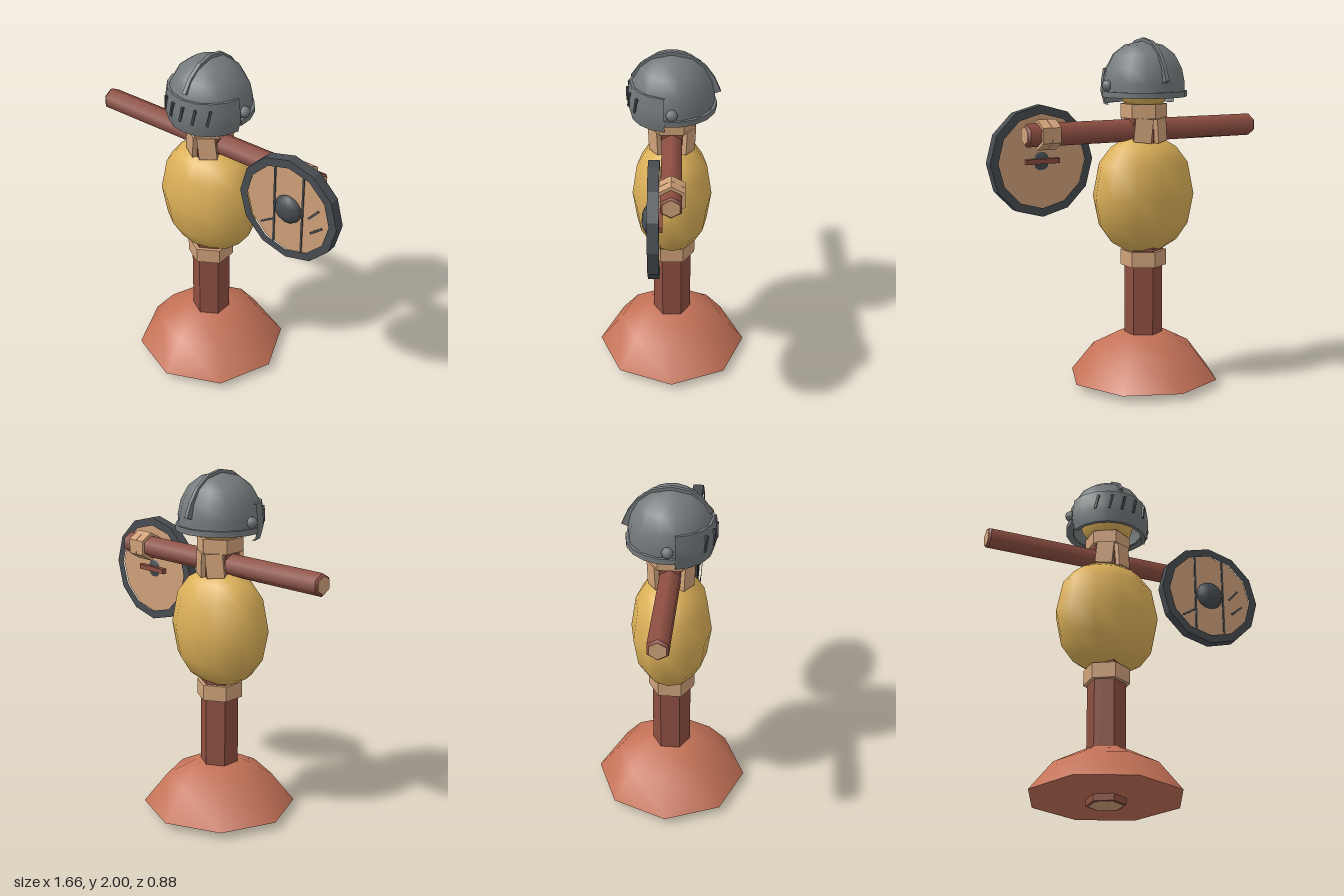
import * as THREE from 'three';
import { toCreasedNormals } from 'three/addons/utils/BufferGeometryUtils.js';

const mat = (name, color, side = THREE.FrontSide) => {
  const m = new THREE.MeshStandardMaterial({ color, side });
  m.name = name;
  return m;
};

export function createModel() {
  const clay = mat('clay', 0xc47257);
  const darkWood = mat('darkWood', 0x8e4f42);
  const paleWood = mat('paleWood', 0xd0a27a);
  const sacking = mat('sacking', 0xdcb058);
  const steel = mat('steel', 0x74797b, THREE.DoubleSide);
  const iron = mat('iron', 0x484d52);

  const model = new THREE.Group();
  model.name = 'trainingDummy';
  const body = new THREE.Group();
  body.name = 'body';
  body.position.x = -0.095;
  model.add(body);

  const add = (parent, name, geo, material, x = 0, y = 0, z = 0) => {
    const mesh = new THREE.Mesh(geo, material);
    mesh.name = name;
    mesh.position.set(x, y, z);
    parent.add(mesh);
    return mesh;
  };
  const lathe = (pts, sides, crease, start = 0, sweep = Math.PI * 2) =>
    toCreasedNormals(new THREE.LatheGeometry(pts.map(p => new THREE.Vector2(...p)), sides, start, sweep), crease);
  const hex = (r, h) => toCreasedNormals(new THREE.CylinderGeometry(r, r, h, 6), 0.5);
  // Hexagonal prism lying along x with a corner on top
  const lyingHex = (r, length) =>
    new THREE.CylinderGeometry(r, r, length, 6).rotateY(Math.PI / 2).rotateZ(Math.PI / 2);

  // Domed base and post
  add(body, 'base', lathe([[0, 0.04], [0.44, 0.04], [0.305, 0.21], [0.135, 0.3], [0, 0.3]], 8, 0.9), clay);
  add(body, 'post', hex(0.11, 1.6), darkWood, 0, 0.802, 0);
  add(body, 'postFoot', hex(0.095, 0.004), paleWood, 0, 0.002, 0);

  // Stuffed sack with bindings above and below
  const sack = add(body, 'sack', lathe([[0, 0.78], [0.11, 0.79], [0.205, 0.845], [0.275, 0.94], [0.31, 1.11],
    [0.272, 1.295], [0.2, 1.385], [0.1, 1.44], [0, 1.45]], 12, 1.2), sacking);
  sack.scale.z = 0.73;
  add(body, 'lowerBinding', hex(0.132, 0.09), paleWood, 0, 0.745, 0);
  add(body, 'neckBinding', hex(0.132, 0.08), paleWood, 0, 1.592, 0);

  // Straps where the crossbar meets the post
  for (const turn of [0, Math.PI]) {
    for (const s of [-1, 1]) {
      const a = turn + s * Math.PI / 6;
      const strap = add(body, 'crossStrap', new THREE.BoxGeometry(0.1, 0.135, 0.03), paleWood,
        Math.sin(a) * 0.107, 1.485, Math.cos(a) * 0.107);
      strap.rotation.set(0, a, s * 0.1, 'YXZ');
    }
  }

  // Crossbar with cut ends and a shield lashing
  add(model, 'crossbar', lyingHex(0.064, 1.455), darkWood, -0.0925, 1.482, 0);
  for (const s of [-1, 1]) {
    const bevel = new THREE.CylinderGeometry(0.052, 0.064, 0.012, 6)
      .rotateY(Math.PI / 2).rotateZ(-s * Math.PI / 2);
    add(model, 'barBevel', bevel, darkWood, -0.0925 + s * 0.7335, 1.482, 0);
    add(model, 'barEnd', lyingHex(0.051, 0.004), paleWood, -0.0925 + s * 0.7395, 1.482, 0);
  }
  for (const x of [0.487, 0.543]) {
    add(model, 'barLashing', toCreasedNormals(lyingHex(0.084, 0.054), 0.5), paleWood, x, 1.482, 0);
  }

  // Stuffed head under the helmet
  add(body, 'head', new THREE.SphereGeometry(0.16, 12, 8), sacking, 0, 1.75, 0);

  // Helmet
  const helmet = new THREE.Group();
  helmet.name = 'helmet';
  body.add(helmet);
  add(helmet, 'dome', lathe([[0.205, 1.68], [0.232, 1.68], [0.234, 1.75], [0.218, 1.83], [0.175, 1.91],
    [0.11, 1.96], [0, 1.983], [0, 1.96], [0.16, 1.895], [0.205, 1.78], [0.205, 1.68]], 14, 0.9), steel);
  add(helmet, 'rim', lathe([[0.205, 1.672], [0.246, 1.672], [0.246, 1.704], [0.225, 1.704]],
    10, 0.6, 1.4, Math.PI * 2 - 2.8), steel);
  add(helmet, 'visor', lathe([[0.205, 1.63], [0.226, 1.63], [0.244, 1.7], [0.241, 1.76], [0.23, 1.83], [0.212, 1.83]],
    8, 0.9, -1.4, 2.8), steel);
  for (const x of [-0.145, -0.073, 0, 0.073, 0.145]) {
    const a = Math.asin(x / 0.24);
    const slit = add(helmet, 'visorSlit', new THREE.BoxGeometry(0.014, 0.09, 0.018), iron, x, 1.75, Math.cos(a) * 0.24);
    slit.rotation.set(0, a, -0.22, 'YXZ');
  }
  for (const s of [-1, 1]) {
    add(helmet, 'hinge', new THREE.SphereGeometry(0.032, 8, 6), steel, s * 0.235, 1.738, 0);
  }
  const crestShape = new THREE.Shape([[0.22, 1.86], [0.17, 1.93], [0.09, 1.983], [0, 2], [-0.1, 1.98],
    [-0.18, 1.92], [-0.23, 1.85], [-0.265, 1.768], [-0.23, 1.755], [-0.19, 1.85], [-0.1, 1.93],
    [0, 1.95], [0.1, 1.93], [0.19, 1.85]].map(p => new THREE.Vector2(...p)));
  const crest = new THREE.ExtrudeGeometry(crestShape, { depth: 0.022, bevelEnabled: false });
  add(helmet, 'crest', crest.translate(0, 0, -0.011).rotateY(-Math.PI / 2), steel);

  // Round shield, twelve sided
  const shield = new THREE.Group();
  shield.name = 'shield';
  shield.position.set(0.515, 1.33, 0.09);
  model.add(shield);
  const ring = r => Array.from({ length: 12 }, (_, i) =>
    new THREE.Vector2(Math.sin(i * Math.PI / 6) * r, Math.cos(i * Math.PI / 6) * r));
  const rimShape = new THREE.Shape(ring(0.31));
  rimShape.holes.push(new THREE.Path(ring(0.262)));
  add(shield, 'shieldRim', new THREE.ExtrudeGeometry(rimShape, { depth: 0.06, bevelEnabled: false }), iron, 0, 0, -0.03);
  const board = new THREE.CylinderGeometry(0.268, 0.268, 0.036, 12).rotateX(Math.PI / 2);
  add(shield, 'shieldBoard', board, paleWood);
  const boss = add(shield, 'boss', new THREE.SphereGeometry(0.084, 10, 8), iron, 0, 0, 0.018);
  boss.scale.z = 0.57;
  add(shield, 'handle', new THREE.BoxGeometry(0.2, 0.028, 0.03), darkWood, 0, 0, -0.03);

  // Plank seams and scratches: x, y, length, angle, width
  const marks = [
    [-0.09, 0, 0.49, Math.PI / 2, 0.011], [0.09, 0, 0.49, Math.PI / 2, 0.011],
    [0.16, 0.03, 0.092, 0.86, 0.012], [0.18, -0.065, 0.092, 0.7, 0.012], [-0.133, -0.128, 0.1, 0.57, 0.01],
  ];
  for (const [x, y, length, angle, width] of marks) {
    add(shield, 'shieldMark', new THREE.BoxGeometry(length, width, 0.006), iron, x, y, 0.02).rotation.z = angle;
  }
  return model;
}
